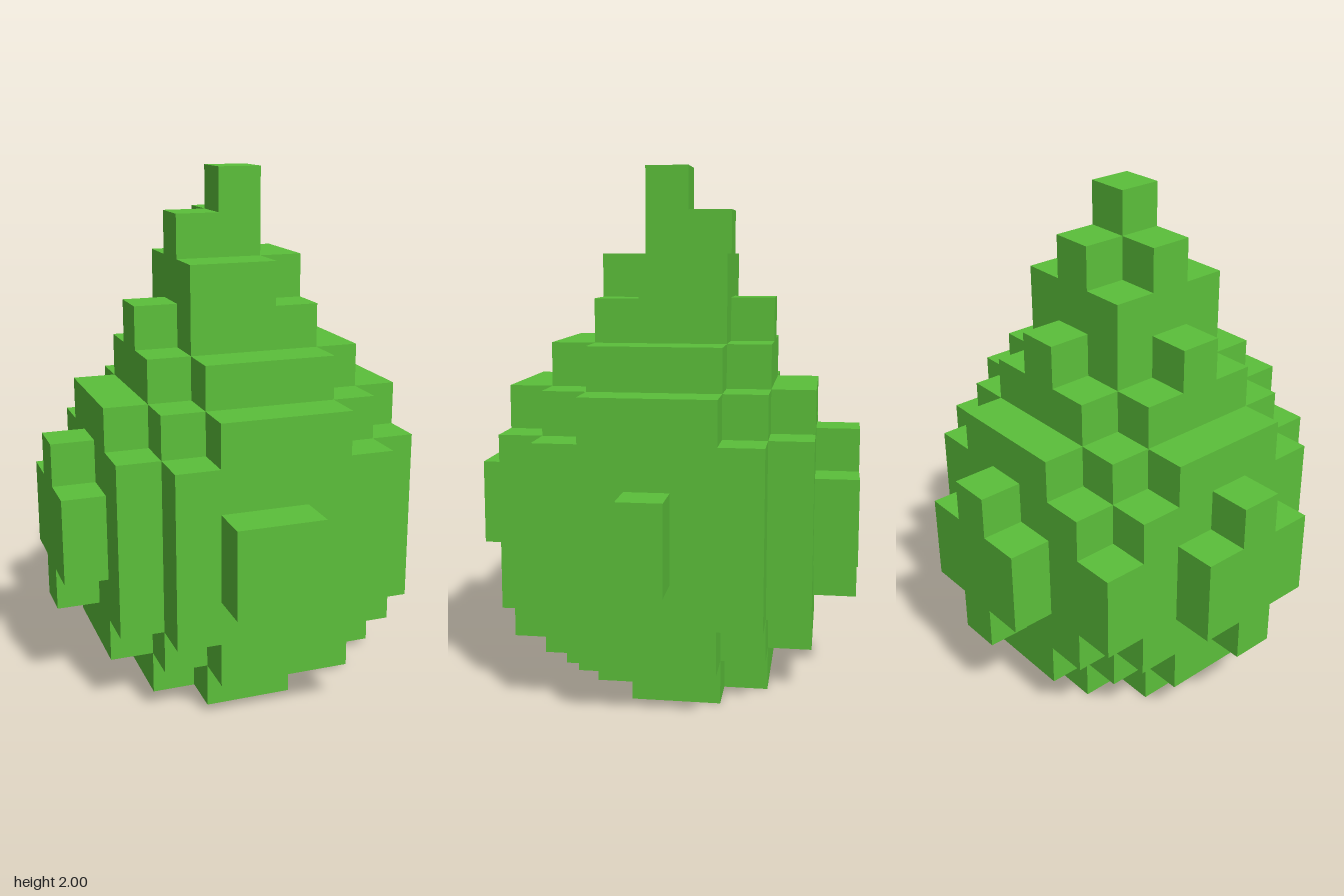
import * as THREE from 'three';

// One voxel is a sixth of a unit; boxes are given in inclusive cell ranges.
const CELL = 1 / 6;

export function createModel() {
  const green = new THREE.MeshStandardMaterial({ color: 0x5bbf3a });
  green.name = 'leafGreen';
  const model = new THREE.Group();
  model.name = 'voxelDrop';

  function block(parent, name, [x0, x1], [y0, y1], [z0, z1]) {
    const size = [x1 - x0 + 1, y1 - y0 + 1, z1 - z0 + 1].map((n) => n * CELL);
    const mesh = new THREE.Mesh(new THREE.BoxGeometry(...size), green);
    mesh.position.set(((x0 + x1) / 2) * CELL, ((y0 + y1 + 1) / 2) * CELL, ((z0 + z1) / 2) * CELL);
    mesh.name = name;
    parent.add(mesh);
  }

  function part(name) {
    const group = new THREE.Group();
    group.name = name;
    model.add(group);
    return group;
  }

  // A block and its copy with x and z swapped
  function pair(parent, name, xs, ys, zs) {
    block(parent, name, xs, ys, zs);
    block(parent, name, zs, ys, xs);
  }

  // Stepped foot, cut away at the front left
  const foot = part('foot');
  block(foot, 'footCore', [-1, 1], [0, 0], [-1, 1]);
  pair(foot, 'footFrontStep', [-1, 0], [0, 0], [1, 2]);
  pair(foot, 'footBackStep', [-1, 1], [0, 0], [-2, -1]);

  // Back and right steps of the foot share the same rule; the front left is narrower

  // Round body
  const body = part('body');
  pair(body, 'bodyMiddle', [-3, 3], [2, 5], [-2, 2]);
  block(body, 'bodyCore', [-2, 2], [1, 6], [-2, 2]);
  pair(body, 'bodyRim', [-3, 3], [1, 6], [-1, 1]);
  block(body, 'bodyBackCorner', [-3, -3], [3, 4], [-3, -3]);

  // Raised patches on the four sides
  const patches = part('sidePatches');
  block(patches, 'frontPatch', [-1, 0], [3, 4], [4, 4]);
  block(patches, 'leftPatch', [4, 4], [3, 4], [0, 0]);
  pair(patches, 'crossPatchWide', [-1, 1], [3, 4], [-4, -4]);
  pair(patches, 'crossPatchTall', [0, 0], [2, 5], [-4, -4]);

  // Shoulder below the tip
  const shoulder = part('shoulder');
  pair(shoulder, 'shoulderStep', [-2, 2], [7, 7], [-1, 1]);
  block(shoulder, 'shoulderTop', [-1, 1], [8, 8], [-1, 1]);
  pair(shoulder, 'shoulderKnob', [0, 0], [8, 8], [-2, -2]);

  // Narrow stepped tip
  const tip = part('tip');
  pair(tip, 'tipBase', [-1, 1], [9, 9], [-1, 0]);
  pair(tip, 'tipStep', [-1, 0], [10, 10], [0, 0]);
  block(tip, 'tipPoint', [0, 0], [11, 11], [0, 0]);

  return model;
}
